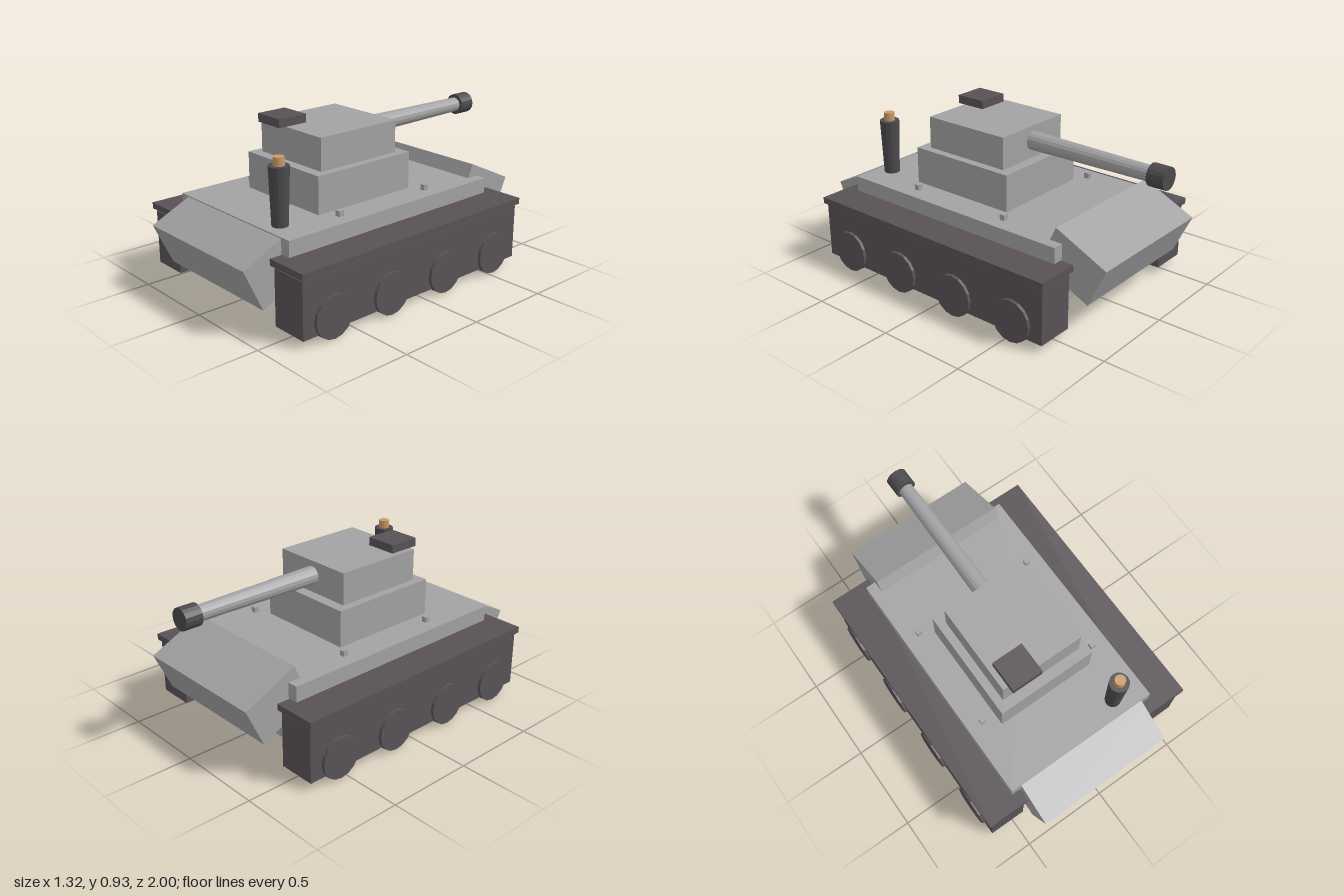
import * as THREE from 'three';

const paint = (name, color) => {
  const m = new THREE.MeshStandardMaterial({ color });
  m.name = name;
  return m;
};

export function createModel() {
  const model = new THREE.Group();
  model.name = 'tank';
  const grey = paint('hullGrey', 0xa2a2a4);
  const dark = paint('trackGrey', 0x585256);
  const iron = paint('ironGrey', 0x4c4a4c);
  const tan = paint('tan', 0xc89b68);

  const add = (name, geo, mat, x, y, z) => {
    const mesh = new THREE.Mesh(geo, mat);
    mesh.name = name;
    mesh.position.set(x, y, z);
    model.add(mesh);
    return mesh;
  };
  // Box given by its min and max on each axis
  const box = (name, mat, [x0, x1], [y0, y1], [z0, z1]) =>
    add(name, new THREE.BoxGeometry(x1 - x0, y1 - y0, z1 - z0), mat,
      (x0 + x1) / 2, (y0 + y1) / 2, (z0 + z1) / 2);
  // Faceted cylinder
  const cyl = (rTop, rBottom, h, sides = 16) => {
    const g = new THREE.CylinderGeometry(rTop, rBottom, h, sides).toNonIndexed();
    g.computeVertexNormals();
    return g;
  };

  // Hull with a tilted plate at each end
  box('hull', grey, [-0.465, 0.465], [0.148, 0.488], [-0.66, 0.771]);
  const tilt = THREE.MathUtils.degToRad(25);
  add('frontPlate', new THREE.BoxGeometry(0.81, 0.262, 0.26), grey, 0, 0.311, 0.827).rotation.x = tilt;
  add('rearPlate', new THREE.BoxGeometry(0.81, 0.245, 0.338), grey, 0, 0.382, -0.722).rotation.x = -tilt;

  // Turret and hatch
  box('turretBase', grey, [-0.295, 0.295], [0.488, 0.697], [-0.21, 0.441]);
  box('turretTop', grey, [-0.248, 0.248], [0.697, 0.878], [-0.148, 0.382]);
  box('hatch', dark, [-0.217, -0.035], [0.878, 0.926], [0.245, 0.426]);

  // Gun, tapering to the muzzle
  const barrel = add('barrel', cyl(0.042, 0.052, 0.78), grey, 0, 0.795, -0.52);
  const muzzle = add('muzzle', cyl(0.061, 0.061, 0.098), iron, 0, 0.795, -0.951);
  barrel.rotation.x = muzzle.rotation.x = -Math.PI / 2;

  // Chimney
  add('chimney', cyl(0.055, 0.044, 0.313), iron, 0.278, 0.646, 0.677);
  add('chimneyTip', cyl(0.03, 0.03, 0.06), tan, 0.278, 0.819, 0.677);

  // Running gear and deck bolts on both sides
  const wheel = cyl(0.118, 0.118, 0.248);
  for (const [side, s] of [['left', 1], ['right', -1]]) {
    const span = (a, b) => (s > 0 ? [a, b] : [-b, -a]);
    box(side + 'Track', dark, span(0.428, 0.641), [0.042, 0.352], [-0.725, 0.834]);
    box(side + 'Fender', dark, span(0.411, 0.659), [0.365, 0.4], [-0.738, 0.847]);
    for (const z of [0.648, 0.256, -0.143, -0.536])
      add(side + 'Wheel', wheel, dark, s * 0.535, 0.118, z).rotation.z = Math.PI / 2;
    for (const z of [0.365, -0.257])
      box(side + 'Bolt', grey, span(0.357, 0.387), [0.488, 0.519], [z - 0.015, z + 0.015]);
  }
  return model;
}
